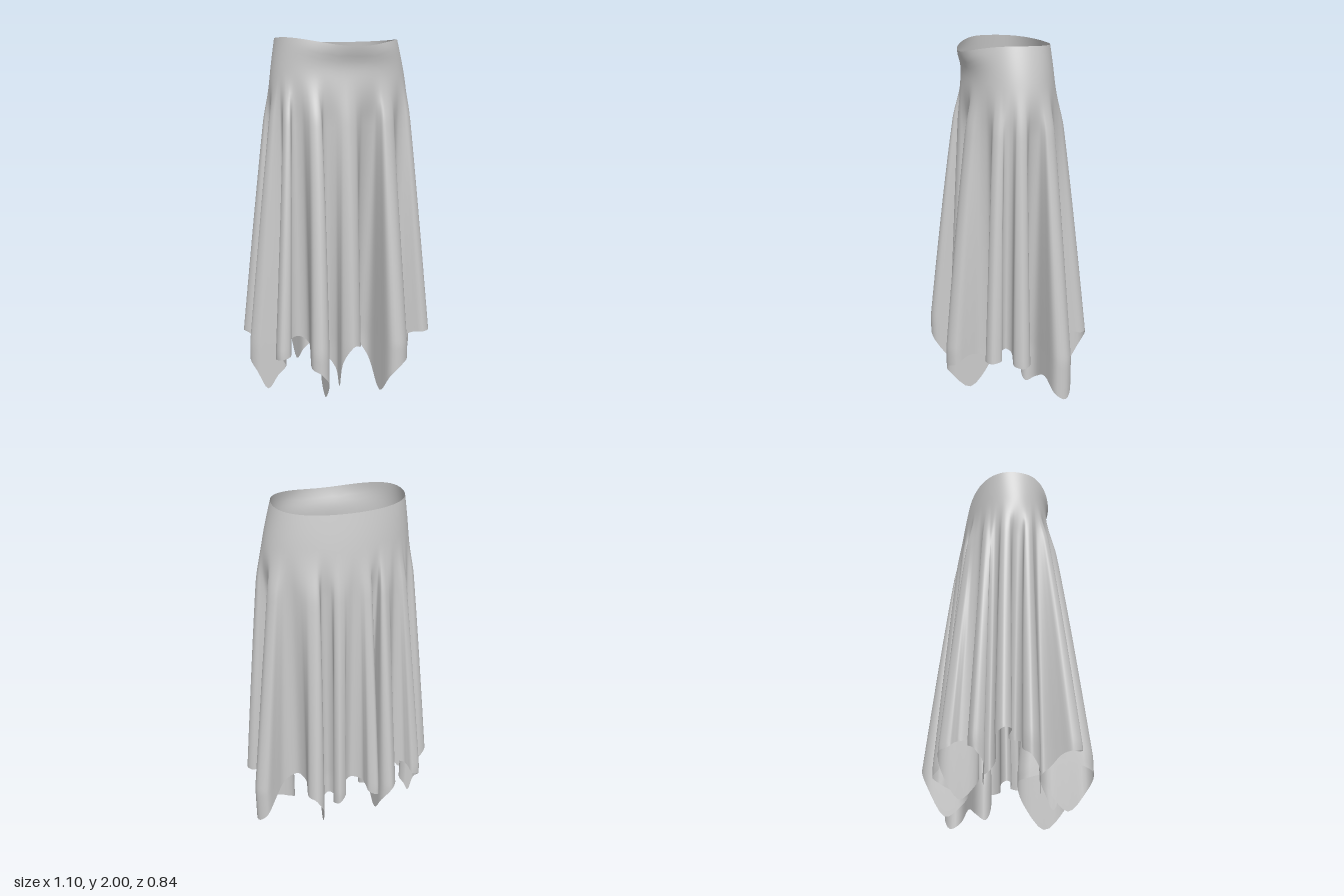
import * as THREE from 'three';

// Fold extremes at the hem, alternating outer crest and inner valley, running from +x round by the front:
// [x, z, hem height here, hem height on the flank leading to the next one, half width]
const FOLDS = [
  [0.55, 0.05, 0.29, 0.30, 0.045], [0.36, 0.10, 0.33, 0.32, 0.030],
  [0.49, 0.21, 0.31, 0.30, 0.045], [0.27, 0.16, 0.25, 0.26, 0.055],
  [0.215, 0.41, 0.19, 0.00, 0.058], [0.09, 0.10, 0.24, 0.28, 0.050],
  [-0.05, 0.34, 0.30, 0.05, 0.052], [-0.14, 0.16, 0.20, 0.02, 0.045],
  [-0.27, 0.42, 0.20, 0.27, 0.048], [-0.30, 0.13, 0.34, 0.30, 0.055],
  [-0.46, 0.30, 0.27, 0.25, 0.042], [-0.37, 0.11, 0.16, 0.03, 0.032],
  [-0.55, 0.01, 0.20, 0.30, 0.042], [-0.33, -0.02, 0.34, 0.34, 0.036],
  [-0.55, -0.13, 0.33, 0.25, 0.042], [-0.37, -0.16, 0.16, 0.07, 0.030],
  [-0.46, -0.26, 0.24, 0.32, 0.042], [-0.29, -0.23, 0.35, 0.33, 0.060],
  [-0.23, -0.40, 0.28, 0.06, 0.045], [-0.11, -0.165, 0.20, 0.25, 0.038],
  [-0.15, -0.38, 0.25, 0.30, 0.036], [-0.02, -0.255, 0.32, 0.32, 0.055],
  [0.085, -0.38, 0.24, 0.18, 0.036], [0.10, -0.175, 0.16, 0.05, 0.040],
  [0.235, -0.42, 0.32, 0.35, 0.045], [0.29, -0.18, 0.36, 0.22, 0.070],
  [0.545, -0.20, 0.07, 0.16, 0.055], [0.28, -0.04, 0.07, 0.30, 0.045],
];
// Where each crest starts on the hip, in degrees round the body
const CREST_ANGLES = [7, 30, 62, 97, 126, 152, 165, 198, 220, 242, 256, 278, 297, 332];
const COLUMNS = FOLDS.length * 16, ROWS = 64;
const { lerp, smoothstep, clamp, degToRad } = THREE.MathUtils;

// Closed curves: the folded hem outline, and the matching direction round the body (with hem height as y)
function hemCurves() {
  const n = FOLDS.length;
  const at = i => FOLDS[(i + n) % n];
  const point = i => new THREE.Vector2(at(i)[0], at(i)[1]);
  const crestAngle = i => degToRad(CREST_ANGLES[(i + n) % n / 2] + 360 * Math.floor(i / n));
  const angle = i => i % 2 ? (crestAngle(i - 1) + crestAngle(i + 1)) / 2 : crestAngle(i);

  // Round each fold end with a point either side of it
  const ends = FOLDS.map((f, i) => {
    const p = point(i), prev = point(i - 1), next = point(i + 1), w = f[4];
    const dir = p.clone().sub(prev.clone().add(next).multiplyScalar(0.5)).normalize();
    const side = new THREE.Vector2(-dir.y, dir.x);
    if (side.dot(next.clone().sub(prev)) < 0) side.negate();
    const back = p.clone().addScaledVector(dir, -Math.min(w, 0.036));
    return [back.clone().addScaledVector(side, -w), p, back.clone().addScaledVector(side, w)];
  });

  const outline = [], around = [];
  const add = (p, a, y) => {
    outline.push(new THREE.Vector3(p.x, 0, p.y));
    around.push(new THREE.Vector3(Math.cos(a), y, Math.sin(a)));
  };
  for (let i = 0; i < n; i++) {
    const [before, tip, after] = ends[i];
    const a = angle(i), gapIn = a - angle(i - 1), gapOut = angle(i + 1) - a;
    const y = at(i)[2], flank = at(i)[3];
    add(before, a - gapIn * 0.25, lerp(y, at(i - 1)[3], 0.4));
    add(tip, a, y);
    add(after, a + gapOut * 0.25, lerp(y, flank, 0.4));
    add(after.clone().lerp(ends[(i + 1) % n][0], 0.5), a + gapOut * 0.5, flank);
  }
  const closed = points => new THREE.CatmullRomCurve3(points, true, 'catmullrom', 0.5);
  return { outline: closed(outline), around: closed(around) };
}

// Smooth body shape under the folds: a squarish oval waist widening to an elliptical hip
function bodyPoint(c, s, y) {
  const hip = Math.sin(clamp((2 - y) / 0.4, 0, 1) * Math.PI / 2);
  const square = 1 + 0.06 * (1 - hip) * (2 * c * s) ** 2;
  const front = Math.max(0, s);
  const lip = 0.047 * front ** 4 * Math.exp(-(((y - 1.96) / 0.08) ** 2));
  return [
    c * square * lerp(0.355, 0.412, hip) - 0.015 * (1 - hip),
    s * square * lerp(0.213, 0.258, hip) + lip,
  ];
}

function skirtGeometry() {
  const { outline, around } = hemCurves();
  const positions = [], index = [];
  for (let j = 0; j <= ROWS; j++) {
    for (let i = 0; i < COLUMNS; i++) {
      const u = i / COLUMNS;
      const hem = outline.getPoint(u), dir = around.getPoint(u);
      const len = Math.hypot(dir.x, dir.z), c = dir.x / len, s = dir.z / len;
      // The waist edge dips at the front
      const top = 2 - (s > 0 ? 0.05 * s ** 4 : 0.01 * s * s);
      const y = lerp(top, Math.max(0, dir.y), j / ROWS);
      const [bx, bz] = bodyPoint(c, s, y);
      // Folds deepen steadily below the hip, and pinch sideways sooner than they deepen
      const deep = clamp((1.8 - y) / 1.5, 0, 1) ** 0.92 * smoothstep(1.84 - y, 0, 0.3);
      const pinch = deep ** 0.7;
      const r = Math.hypot(bx, bz), rx = bx / r, rz = bz / r;
      const dx = hem.x - bx, dz = hem.z - bz;
      const radial = (dx * rx + dz * rz) * deep, across = (dz * rx - dx * rz) * pinch;
      positions.push(bx + rx * radial - rz * across, y, bz + rz * radial + rx * across);
      if (j < ROWS) {
        const a = j * COLUMNS + i, b = j * COLUMNS + (i + 1) % COLUMNS;
        index.push(a, b, a + COLUMNS, b, b + COLUMNS, a + COLUMNS);
      }
    }
  }
  const geometry = new THREE.BufferGeometry();
  geometry.setAttribute('position', new THREE.Float32BufferAttribute(positions, 3));
  geometry.setIndex(index);
  geometry.computeVertexNormals();
  return geometry;
}

export function createModel() {
  const group = new THREE.Group();
  group.name = 'drapedSkirt';
  const cloth = new THREE.MeshStandardMaterial({ color: 0xcccccc, side: THREE.DoubleSide });
  const skirt = new THREE.Mesh(skirtGeometry(), cloth);
  skirt.name = 'skirtCloth';
  group.add(skirt);
  return group;
}
